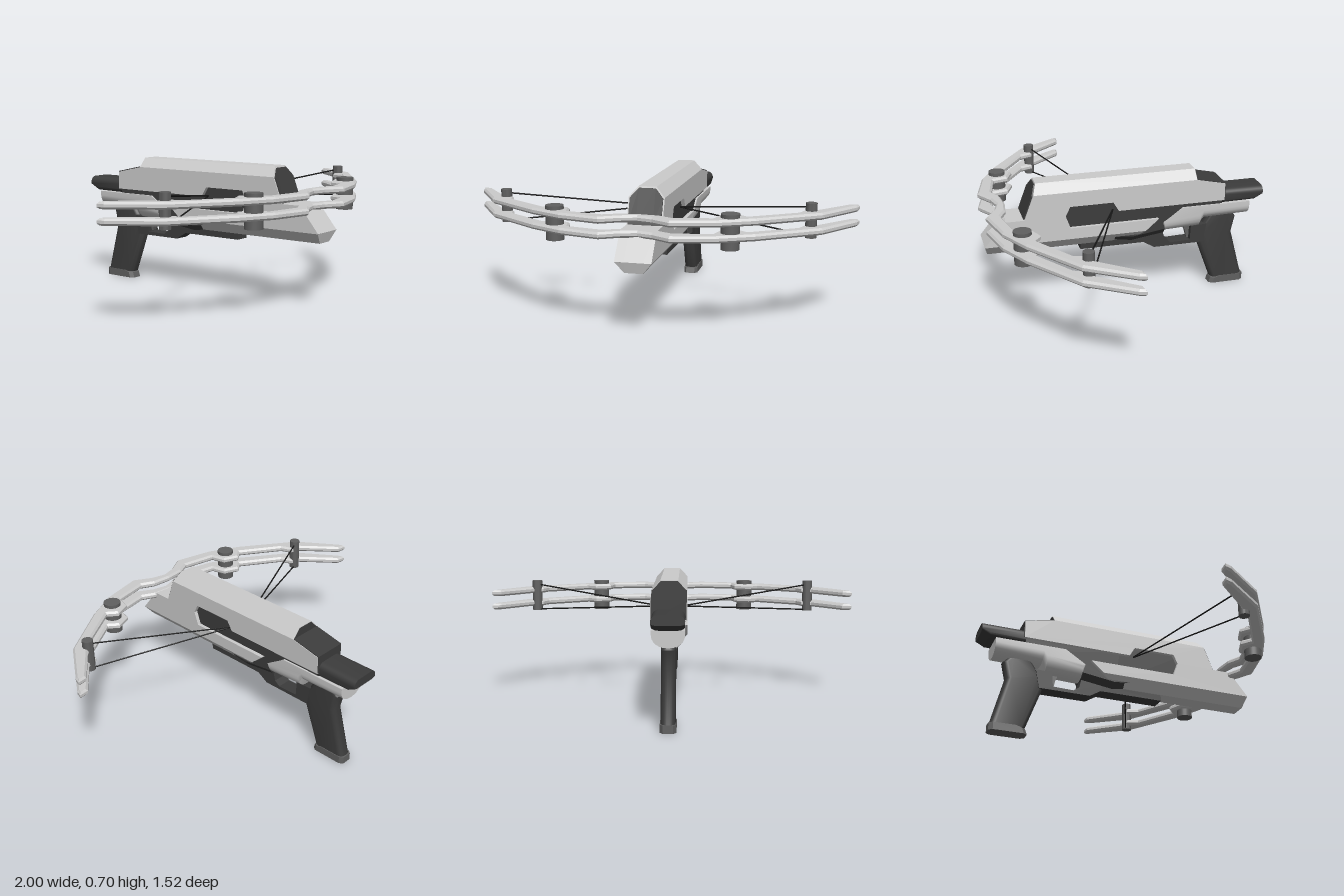
import * as THREE from 'three';
import { toCreasedNormals } from 'three/addons/utils/BufferGeometryUtils.js';

const mat = (color, flatShading = true) => new THREE.MeshStandardMaterial({ color, flatShading });
const GREY = 0xcccccc, DARK = 0x3c3c3c, STEEL = 0x606060, BLACK = 0x181818;

// Symmetric solid from a side profile of [z, y, dz, dy] points.
// Each layer [x, k] is the profile shifted by k * (dz, dy); layers run from the outside in.
function sideSolid(profile, layers) {
  let pts = profile.map(([z, y, dz = 0, dy = 0]) => [z, y, dz, dy]);
  if (THREE.ShapeUtils.isClockWise(pts.map(p => new THREE.Vector2(p[0], p[1])))) pts = pts.reverse();
  const all = [...layers, ...layers.slice().reverse().map(([x, k]) => [-x, k])];
  const rings = all.map(([x, k]) => pts.map(([z, y, dz, dy]) => [x, y + k * dy, z + k * dz]));
  const pos = [], n = pts.length;
  const tri = (a, b, c) => pos.push(...a, ...b, ...c);
  for (let i = 0; i < rings.length - 1; i++) {
    for (let j = 0; j < n; j++) {
      const q = (j + 1) % n, A = rings[i], B = rings[i + 1];
      tri(A[j], A[q], B[j]);
      tri(A[q], B[q], B[j]);
    }
  }
  const first = rings[0], last = rings[rings.length - 1];
  const faces = THREE.ShapeUtils.triangulateShape(first.map(p => new THREE.Vector2(p[2], p[1])), []);
  for (const [a, b, c] of faces) {
    tri(first[c], first[b], first[a]);
    tri(last[a], last[b], last[c]);
  }
  const g = new THREE.BufferGeometry();
  g.setAttribute('position', new THREE.Float32BufferAttribute(pos, 3));
  g.computeVertexNormals();
  return g;
}

// Layers of a quarter-round edge
const roundLayers = (w, r, steps = 6) => Array.from({ length: steps + 1 }, (_, i) => {
  const t = (i / steps) * Math.PI / 2;
  return [w - r + r * Math.cos(t), 1 - Math.sin(t)];
});

export function createModel() {
  const model = new THREE.Group();
  const add = (name, geo, color, flat = true) => {
    const m = new THREE.Mesh(flat ? geo : toCreasedNormals(geo, 0.6), mat(color, flat));
    m.name = name;
    model.add(m);
    return m;
  };
  const chamfer = [[0.09, 1], [0.045, 0]];

  // Upper housing with chamfered top and a notch for the string
  add('upperHousing', sideSolid([
    [0.55, 0.52], [0.48, 0.70, 0.02, -0.05], [-0.38, 0.70, 0, -0.049], [-0.381, 0.65],
    [-0.54, 0.615], [-0.54, 0.52], [0.05, 0.52], [0.08, 0.57], [0.31, 0.57], [0.335, 0.52],
  ], chamfer), GREY);
  add('frontPanel', sideSolid([
    [0.555, 0.523], [0.489, 0.693, 0.019, -0.046], [0.47, 0.69, 0.019, -0.046], [0.53, 0.523],
  ], [[0.083, 1], [0.042, 0]]), DARK);
  add('rearSlopePlate', sideSolid([
    [-0.382, 0.654], [-0.543, 0.619], [-0.543, 0.525], [-0.53, 0.525], [-0.53, 0.61], [-0.382, 0.64],
  ], [[0.087, 0]]), DARK);
  add('rearStepPlate', sideSolid([
    [-0.375, 0.697, 0, -0.046], [-0.383, 0.697, 0, -0.046], [-0.383, 0.645], [-0.375, 0.645],
  ], [[0.086, 1], [0.043, 0]]), DARK);

  // Lower forestock with chamfered underside
  add('forestock', sideSolid([
    [0.76, 0.39], [0.655, 0.52], [0.335, 0.52], [0.31, 0.45], [-0.17, 0.45],
    [-0.10, 0.39], [-0.03, 0.335, -0.07, 0.054], [0.745, 0.335, 0.014, 0.054],
  ], chamfer), GREY);

  // Dark core seen in the gap between the housings
  add('core', sideSolid([
    [0.40, 0.60], [0, 0.60], [0, 0.54], [-0.535, 0.54], [-0.535, 0.485], [-0.31, 0.485],
    [-0.22, 0.42], [-0.21, 0.35, 0, 0.03], [-0.03, 0.325, 0, 0.03], [0.40, 0.40],
  ], [[0.07, 1], [0.045, 0]]), DARK);

  // Receiver with rounded underside
  add('receiver', sideSolid([
    [-0.20, 0.405, 0, 0.02], [-0.31, 0.495], [-0.69, 0.495], [-0.69, 0.41, 0, 0.06],
    [-0.43, 0.405, 0, 0.06], [-0.41, 0.36, 0, 0.08], [-0.21, 0.355, 0, 0.06],
  ], roundLayers(0.08, 0.075)), GREY, false);

  // Rear stock cap
  add('rearStock', sideSolid([
    [-0.53, 0.575, 0, -0.03], [-0.765, 0.575, 0, -0.03], [-0.765, 0.525, 0, 0.01],
    [-0.72, 0.497, 0, 0.02], [-0.53, 0.495, 0, 0.02],
  ], roundLayers(0.08, 0.035)), DARK, false);

  // Under-rail and trigger guard in one piece
  add('triggerGuard', sideSolid([
    [0.25, 0.338], [0.25, 0.302], [-0.10, 0.302], [-0.16, 0.265], [-0.44, 0.265], [-0.46, 0.37],
    [-0.37, 0.365], [-0.365, 0.285], [-0.25, 0.282], [-0.22, 0.305], [-0.205, 0.365], [-0.09, 0.338],
  ], [[0.04, 0]]), DARK);
  add('trigger', sideSolid([
    [-0.33, 0.37], [-0.345, 0.33], [-0.355, 0.29], [-0.372, 0.29], [-0.372, 0.37],
  ], [[0.012, 0]]), STEEL);

  // Pistol grip and base plate
  add('grip', sideSolid([
    [-0.48, 0.42, -0.03], [-0.42, 0.33, -0.03], [-0.41, 0.28, -0.03], [-0.50, 0.035, -0.03],
    [-0.685, 0.035, 0.03], [-0.615, 0.30, 0.03], [-0.635, 0.39, 0.03], [-0.61, 0.42, 0.03],
  ], roundLayers(0.036, 0.03)), DARK, false);
  add('gripBase', sideSolid([
    [-0.49, 0, -0.02], [-0.50, 0.03, -0.02], [-0.54, 0.04, -0.01], [-0.69, 0.04, 0.02], [-0.69, 0, 0.02],
  ], [[0.04, 1], [0.025, 0]]), STEEL);

  // Bow limbs: half outline in [x, z], mirrored across the centre
  const front = [[0, 0.68], [0.075, 0.70], [0.17, 0.755], [0.38, 0.705], [0.55, 0.62],
    [0.84, 0.42], [0.99, 0.20], [1.0, 0.165]];
  const back = [[0.95, 0.17], [0.80, 0.35], [0.745, 0.365], [0.72, 0.43], [0.505, 0.57],
    [0.455, 0.53], [0.37, 0.565], [0.35, 0.645], [0.17, 0.68], [0.10, 0.645], [0, 0.635]];
  const half = [...front, ...back];
  const mirrored = half.slice(1, -1).reverse().map(([x, z]) => [-x, z]);
  const outline = new THREE.Shape([...half, ...mirrored].map(p => new THREE.Vector2(...p)));
  for (const [name, y] of [['upperLimb', 0.58], ['lowerLimb', 0.506]]) {
    const g = new THREE.ExtrudeGeometry(outline, {
      depth: 0.014, bevelThickness: 0.01, bevelSize: 0.01, bevelOffset: -0.01, bevelSegments: 1,
    });
    g.rotateX(Math.PI / 2);
    add(name, g, GREY).position.y = y + 0.007;
  }

  // Pulleys, tip pins and strings on both sides
  const post = (name, x, z, r, y0, y1) =>
    add(name, new THREE.CylinderGeometry(r, r, y1 - y0, 24), STEEL, false).position.set(x, (y0 + y1) / 2, z);
  for (const s of [1, -1]) {
    const side = s > 0 ? 'left' : 'right';
    post(side + 'Pulley', s * 0.43, 0.615, 0.045, 0.445, 0.615);
    post(side + 'TipPin', s * 0.78, 0.375, 0.028, 0.465, 0.635);
    for (const y of [0.615, 0.47]) {
      const path = new THREE.LineCurve3(
        new THREE.Vector3(s * 0.78, y, 0.37), new THREE.Vector3(s * 0.06, 0.522, 0.075));
      add(side + 'String', new THREE.TubeGeometry(path, 1, 0.004, 6), BLACK, false);
    }
  }
  return model;
}
